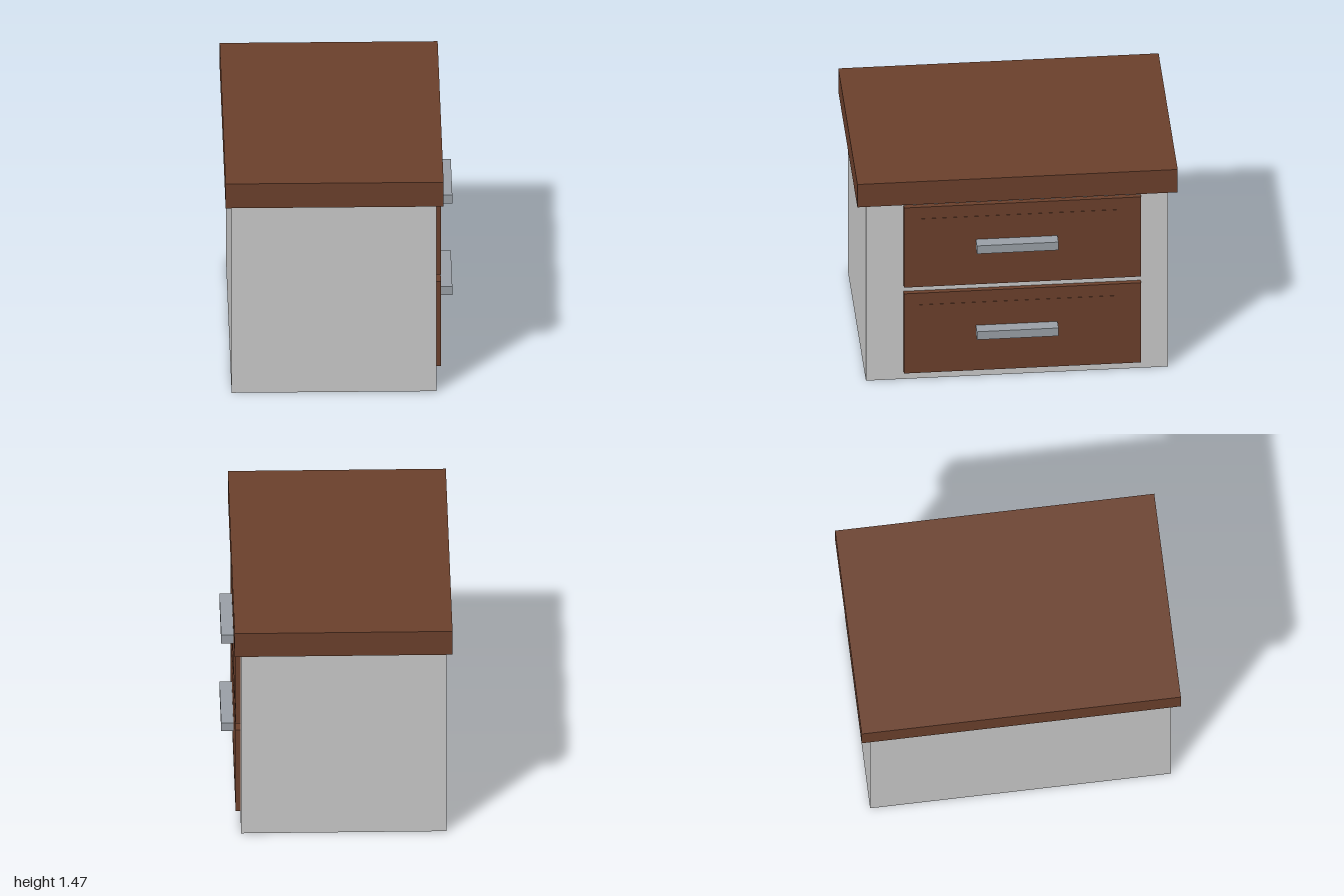
import * as THREE from 'three';

const wood = new THREE.MeshStandardMaterial({ color: 0x6b402c });
wood.name = 'brownWood';
const paint = new THREE.MeshStandardMaterial({ color: 0xcacaca });
paint.name = 'lightGreyPaint';
const metal = new THREE.MeshStandardMaterial({ color: 0x9aa0a7 });
metal.name = 'greyMetal';

// Box given by its extents along each axis
function slab(name, material, [x0, x1], [y0, y1], [z0, z1]) {
  const mesh = new THREE.Mesh(new THREE.BoxGeometry(x1 - x0, y1 - y0, z1 - z0), material);
  mesh.position.set((x0 + x1) / 2, (y0 + y1) / 2, (z0 + z1) / 2);
  mesh.name = name;
  return mesh;
}

// Drawer front with a slightly raised panel and a bar handle, opening towards +x
function drawer(name, bottom) {
  const group = new THREE.Group();
  group.name = name;
  group.position.y = bottom;
  group.add(
    slab('drawerFront', wood, [0.595, 0.632], [0, 0.586], [-0.772, 0.708]),
    slab('drawerPanel', wood, [0.625, 0.634], [0.085, 0.501], [-0.625, 0.61]),
    slab('drawerHandle', metal, [0.628, 0.711], [0.273, 0.332], [-0.25, 0.26])
  );
  return group;
}

export function createModel() {
  const model = new THREE.Group();
  model.name = 'drawerCabinet';
  model.add(
    slab('cabinetBody', paint, [-0.675, 0.601], [0, 1.305], [-0.943, 0.943]),
    slab('cabinetTop', wood, [-0.713, 0.643], [1.305, 1.473], [-1, 1]),
    drawer('lowerDrawer', 0.059),
    drawer('upperDrawer', 0.691)
  );
  return model;
}
